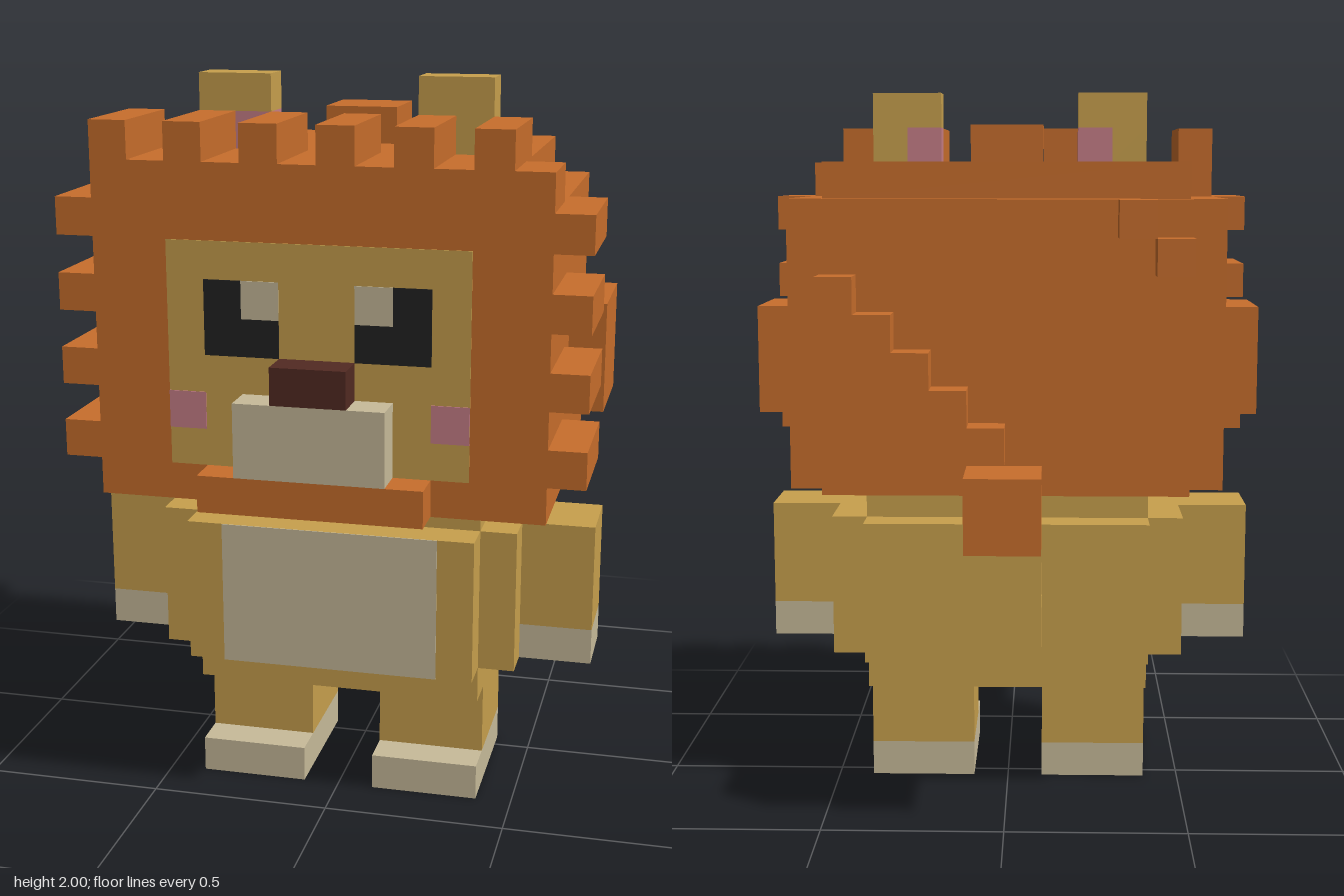
import * as THREE from 'three';

const paint = (name, color) => {
  const m = new THREE.MeshStandardMaterial({ color });
  m.name = name;
  return m;
};

export function createModel() {
  const model = new THREE.Group();
  model.name = 'blockLion';

  const orange = paint('maneOrange', 0xc86e2c);
  const tan = paint('furTan', 0xc8a04d);
  const cream = paint('cream', 0xc8bb9a);
  const pink = paint('pink', 0xc87f88);
  const black = paint('eyeBlack', 0x222222);
  const brown = paint('noseBrown', 0x522a22);

  // Box given by its limits on each axis
  const box = (name, mat, [x0, x1], [y0, y1], [z0, z1]) => {
    const mesh = new THREE.Mesh(new THREE.BoxGeometry(x1 - x0, y1 - y0, z1 - z0), mat);
    mesh.position.set((x0 + x1) / 2, (y0 + y1) / 2, (z0 + z1) / 2);
    mesh.name = name;
    model.add(mesh);
  };
  // The same box on both sides, given for +x
  const pair = (name, mat, [x0, x1], y, z) => {
    box(name + 'Left', mat, [x0, x1], y, z);
    box(name + 'Right', mat, [-x1, -x0], y, z);
  };

  // Legs and feet
  pair('foot', cream, [0.1, 0.4], [0, 0.1], [-0.05, 0.35]);
  pair('leg', tan, [0.1, 0.4], [0.1, 0.3], [-0.05, 0.25]);

  // Body
  box('hips', tan, [-0.4, 0.4], [0.3, 0.4], [-0.15, 0.35]);
  box('body', tan, [-0.4, 0.4], [0.4, 0.8], [-0.25, 0.45]);
  pair('flank', tan, [0.4, 0.5], [0.4, 0.8], [-0.15, 0.35]);
  box('neck', tan, [-0.4, 0.4], [0.8, 0.9], [-0.15, 0.35]);
  box('belly', cream, [-0.3, 0.3], [0.4, 0.8], [0.45, 0.453]);

  // Arms
  pair('arm', tan, [0.5, 0.7], [0.5, 0.8], [0.05, 0.25]);
  pair('paw', cream, [0.5, 0.7], [0.4, 0.5], [0.05, 0.25]);

  // Tail
  box('tailBase', tan, [-0.1, 0.1], [0.5, 0.6], [-0.55, -0.25]);
  box('tailUpright', tan, [-0.1, 0.1], [0.6, 0.8], [-0.55, -0.45]);
  box('tailTuft', orange, [-0.1, 0.1], [0.8, 1.0], [-0.65, -0.45]);

  // Mane
  box('mane', orange, [-0.6, 0.6], [0.9, 1.7], [-0.25, 0.55]);
  box('maneTop', orange, [-0.5, 0.5], [1.7, 1.8], [-0.25, 0.55]);
  box('maneBack', orange, [-0.5, 0.5], [0.9, 1.7], [-0.35, -0.25]);
  box('maneCrown', orange, [-0.1, 0.1], [1.8, 1.9], [-0.15, 0.05]);
  pair('maneSide', orange, [0.6, 0.7], [1.1, 1.4], [-0.15, 0.15]);
  box('maneChin', orange, [-0.3, 0.3], [0.9, 1.0], [0.55, 0.65]);

  // Mane fringe on the sides and top
  for (const y of [1.0, 1.2, 1.4, 1.6]) pair('sideTuft', orange, [0.6, 0.7], [y, y + 0.1], [0.25, 0.55]);
  for (const x of [-0.4, -0.2, 0, 0.2, 0.4]) box('topTuft', orange, [x, x + 0.1], [1.8, 1.9], [0.25, 0.55]);
  box('cornerTuftRight', orange, [-0.6, -0.5], [1.7, 1.9], [0.25, 0.55]);
  box('cornerTuftLeft', orange, [0.5, 0.6], [1.7, 1.8], [0.35, 0.55]);

  // Diagonal tufts on the back
  for (let i = 0; i < 5; i++) {
    box('backTuft', orange, [i / 10, i / 10 + 0.1], [1 + i / 10, 1.1 + i / 10], [-0.45, -0.35]);
  }
  for (let i = 0; i < 2; i++) {
    box('backTuft', orange, [-0.5 + i / 10, -0.4 + i / 10], [1.5 + i / 10, 1.6 + i / 10], [-0.45, -0.35]);
  }

  // Ears with a pink inner lower corner
  const earZ = [0.15, 0.25];
  pair('earTip', tan, [0.2, 0.4], [1.9, 2.0], earZ);
  pair('earOuter', tan, [0.3, 0.4], [1.8, 1.9], earZ);
  pair('earInner', pink, [0.2, 0.3], [1.8, 1.9], earZ);

  // Face
  const onFace = [0.553, 0.556];
  box('face', tan, [-0.4, 0.4], [1.0, 1.6], [0.55, 0.553]);
  pair('eyeLower', black, [0.1, 0.3], [1.3, 1.4], onFace);
  pair('eyeUpper', black, [0.2, 0.3], [1.4, 1.5], onFace);
  pair('eyeShine', cream, [0.1, 0.2], [1.4, 1.5], onFace);
  pair('cheek', pink, [0.3, 0.4], [1.1, 1.2], onFace);
  box('muzzle', cream, [-0.2, 0.2], [1.0, 1.2], [0.55, 0.65]);
  box('nose', brown, [-0.1, 0.1], [1.2, 1.3], [0.55, 0.65]);

  return model;
}
